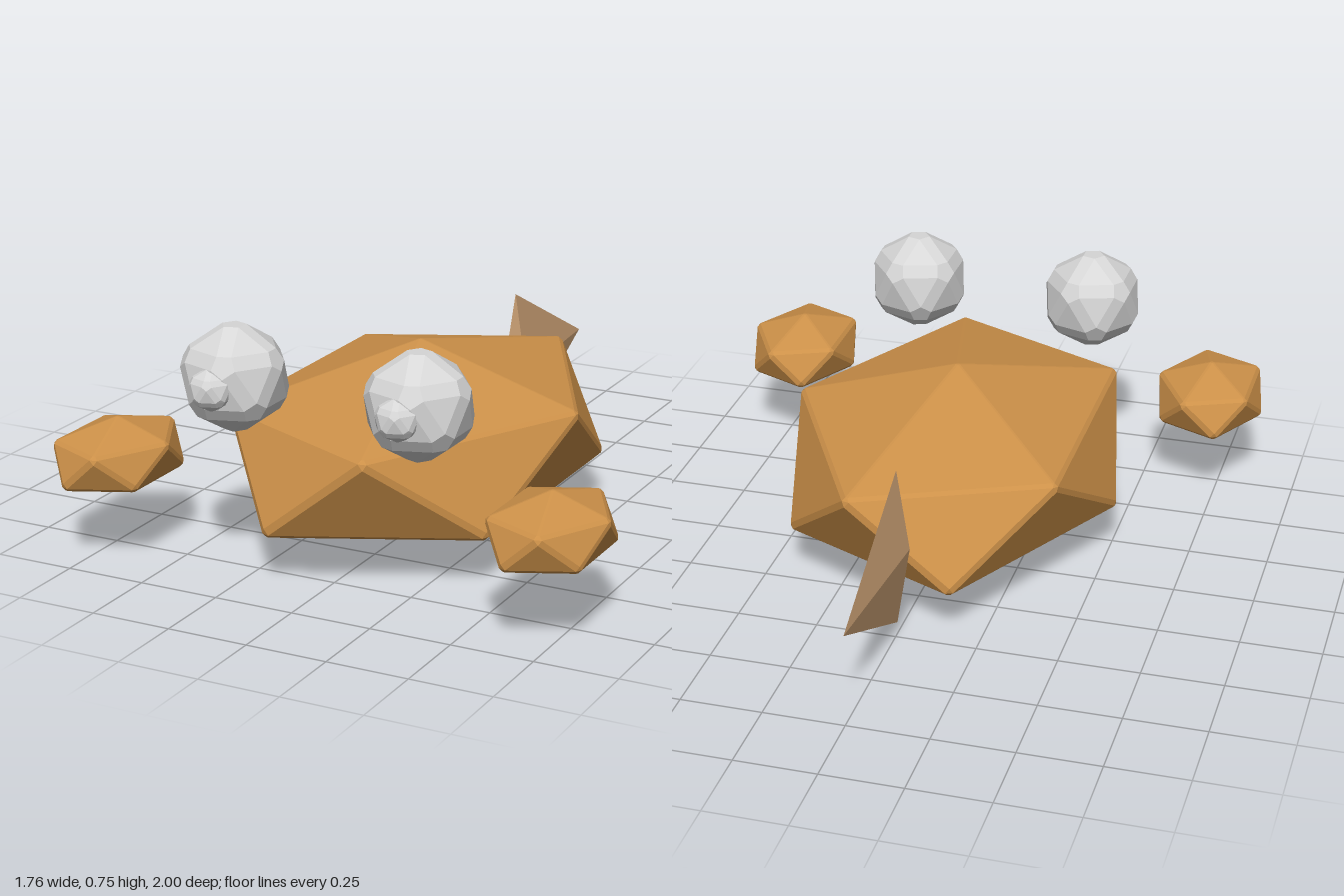
import * as THREE from 'three';
import { ConvexGeometry } from 'three/addons/geometries/ConvexGeometry.js';

const material = (name, color) => {
  const m = new THREE.MeshStandardMaterial({ color, flatShading: true });
  m.name = name;
  return m;
};

// Stretched icosahedron standing on a vertex, with its upper ring pointing to +x.
// Every face is pushed out by the bevel, then the corners are wrapped again.
function bevelledGem(rx, ry, rz, bevel) {
  const g = new THREE.IcosahedronGeometry(1);
  g.rotateZ(-Math.atan(2 / (1 + Math.sqrt(5)))).scale(rx, ry, rz);
  const p = g.attributes.position;
  const points = [];
  const n = new THREE.Vector3();
  for (let i = 0; i < p.count; i += 3) {
    const c = [0, 1, 2].map(k => new THREE.Vector3().fromBufferAttribute(p, i + k));
    new THREE.Triangle(...c).getNormal(n);
    for (const v of c) points.push(v.addScaledVector(n, bevel));
  }
  return new ConvexGeometry(points);
}

export function createModel() {
  const model = new THREE.Group();
  const shell = material('shell brown', 0xcd9149);
  const tan = material('tail tan', 0xd2a679);
  const grey = material('eye grey', 0xd6d6d6);

  const add = (name, geometry, mat, x, y, z) => {
    const mesh = new THREE.Mesh(geometry, mat);
    mesh.name = name;
    mesh.position.set(x, y, z);
    model.add(mesh);
  };

  add('body', bevelledGem(0.56, 0.275, 0.776, 0.02), shell, 0, 0.295, 0.195);

  // Tail: a thin four-sided spike pointing backwards
  const tail = new THREE.ConeGeometry(0.258, 0.52, 4).rotateX(-Math.PI / 2).scale(0.155, 1, 1);
  add('tail', tail, tan, 0, 0.298, -0.74);

  // Claws, eyes and pupils in pairs
  for (const [side, s] of [['left', 1], ['right', -1]]) {
    add(side + 'Claw', bevelledGem(0.174, 0.098, 0.235, 0.018), shell, s * 0.705, 0.3, 0.785);
    add(side + 'Eye', bevelledGem(0.108, 0.108, 0.108, 0.06), grey, s * 0.297, 0.597, 0.785);
    add(side + 'Pupil', bevelledGem(0.045, 0.042, 0.045, 0.025), grey, s * 0.297, 0.595, 0.912);
  }
  return model;
}
